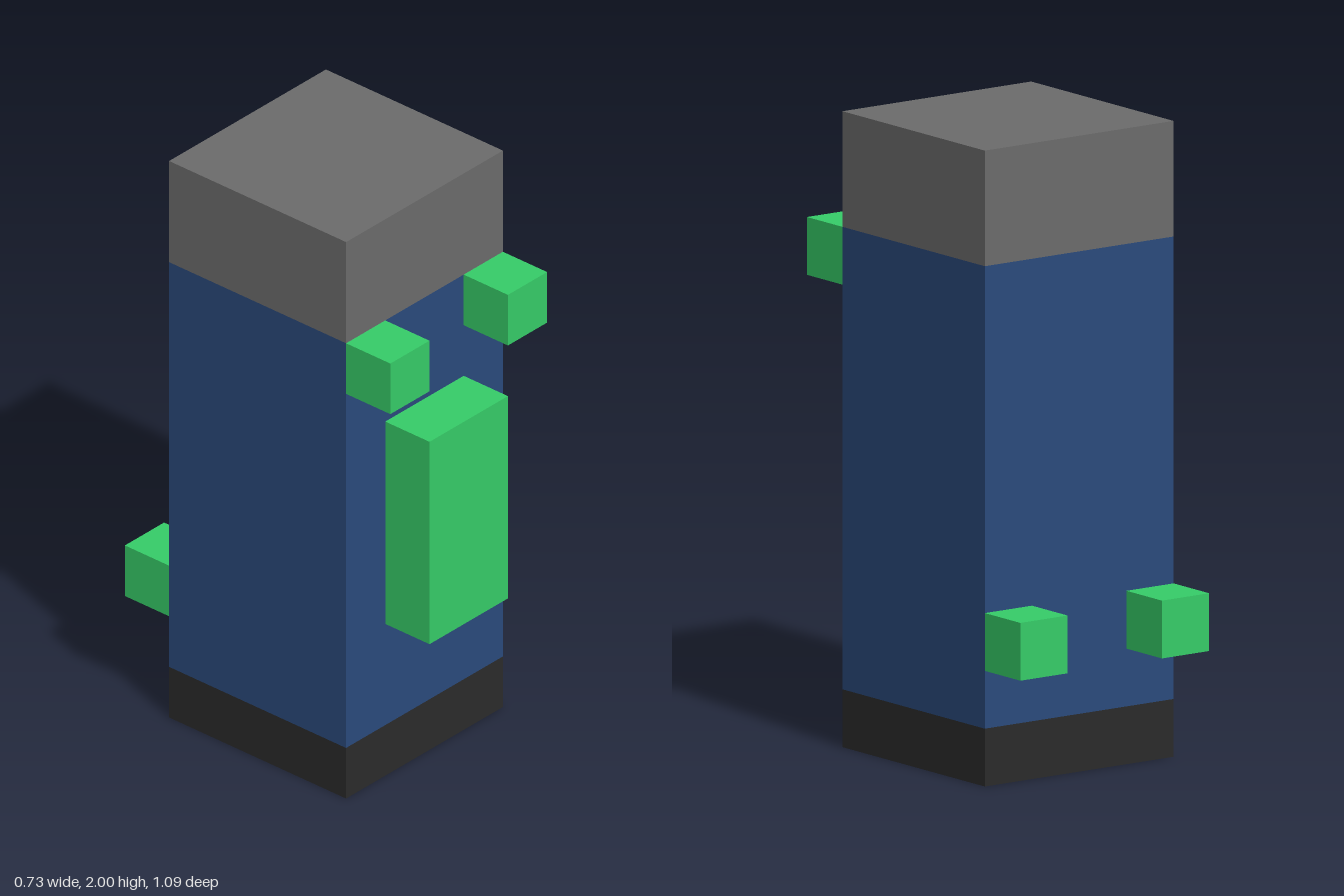
import * as THREE from 'three';

const U = 2 / 11; // block unit: the model is 11 units tall

export function createModel() {
  const model = new THREE.Group();
  const mat = (name, color) => {
    const m = new THREE.MeshStandardMaterial({ color });
    m.name = name;
    return m;
  };
  const black = mat('black', 0x2b2b2b);
  const blue = mat('blue', 0x2a4a7c);
  const grey = mat('grey', 0x6c6c6c);
  const green = mat('green', 0x36cc68);

  // Box of w x h x d units, with its base at y and its centre at x, z
  const block = (name, material, [w, h, d], [x, y, z]) => {
    const mesh = new THREE.Mesh(new THREE.BoxGeometry(w * U, h * U, d * U), material);
    mesh.position.set(x * U, (y + h / 2) * U, z * U);
    mesh.name = name;
    model.add(mesh);
  };

  // Stacked column
  block('base', black, [4, 1, 4], [0, 0, 0]);
  block('body', blue, [4, 8, 4], [0, 1, 0]);
  block('cap', grey, [4, 2, 4], [0, 9, 0]);

  // Front panel
  block('frontPanel', green, [2, 4, 1], [0, 3, 2.5]);

  // Mirrored cubes: high on the front, low on the back
  for (const [side, s] of [['left', 1], ['right', -1]]) {
    block(side + 'FrontCube', green, [1, 1, 1], [s * 1.5, 8, 2.5]);
    block(side + 'BackCube', green, [1, 1, 1], [s * 1.5, 2, -2.5]);
  }
  return model;
}
